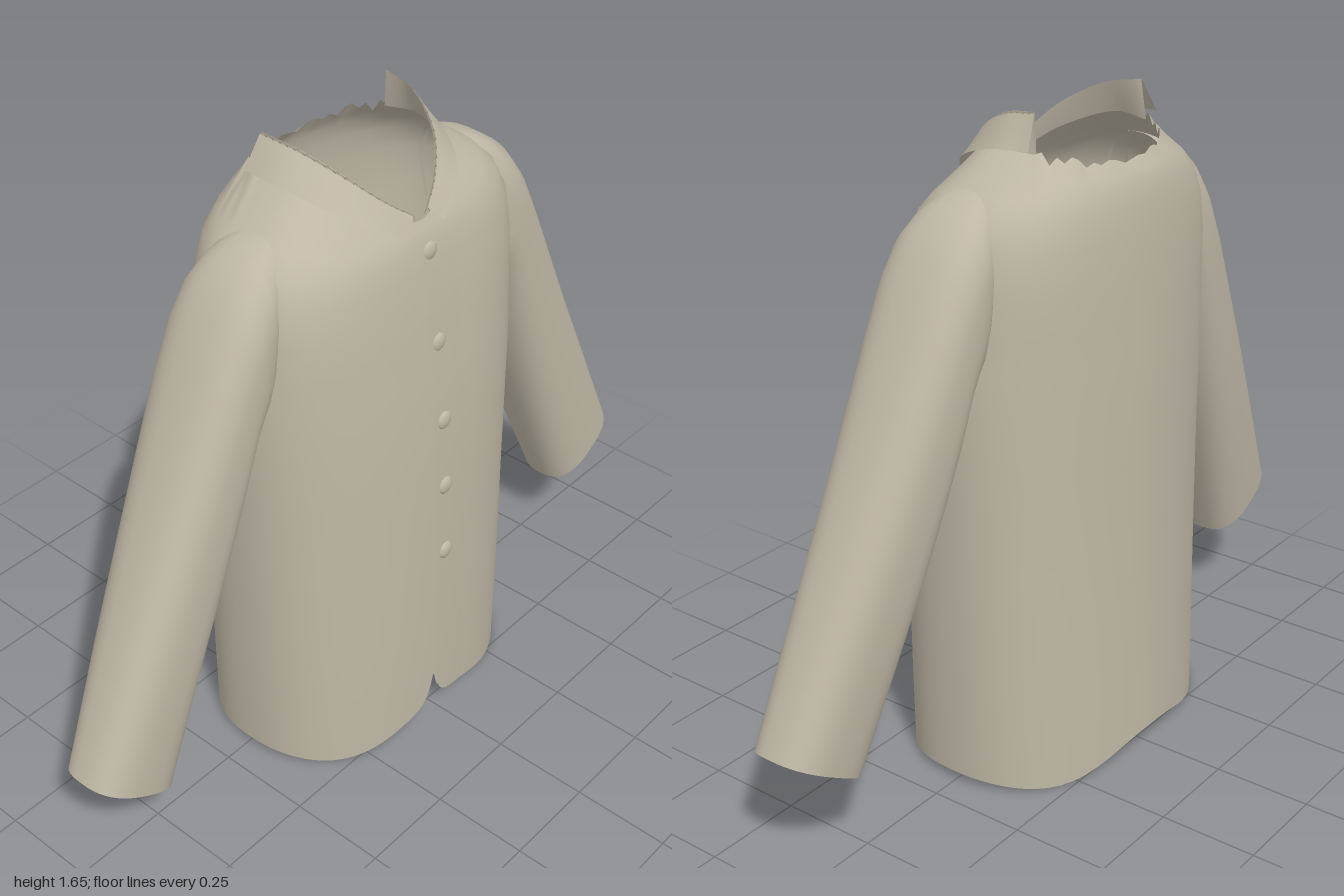
import * as THREE from 'three';
import { mergeVertices } from 'three/addons/utils/BufferGeometryUtils.js';

const cloth = new THREE.MeshStandardMaterial({ color: 0xbeb7a5, side: THREE.DoubleSide });
cloth.name = 'beige cloth';

const spow = (v, p) => Math.sign(v) * Math.pow(Math.abs(v), p);

// Smooth sheet from a rule point(i, j) -> [x, y, z]; cells wholly inside the hole are left out
function sheet(name, cols, rows, point, inHole = () => false) {
  const pts = [], idx = [];
  for (let j = 0; j <= rows; j++) for (let i = 0; i <= cols; i++) pts.push(point(i, j));
  for (let j = 0; j < rows; j++) for (let i = 0; i < cols; i++) {
    const a = j * (cols + 1) + i, b = a + cols + 1;
    if ([a, a + 1, b, b + 1].every(k => inHole(...pts[k]))) continue;
    idx.push(a, a + 1, b, a + 1, b + 1, b);
  }
  let geo = new THREE.BufferGeometry();
  geo.setAttribute('position', new THREE.Float32BufferAttribute(pts.flat(), 3));
  geo.setIndex(idx);
  geo = mergeVertices(geo, 1e-5);
  geo.computeVertexNormals();
  const mesh = new THREE.Mesh(geo, cloth);
  mesh.name = name;
  return mesh;
}

// Body rings: y at front, side, back; half width; front depth; back depth; front and back squareness
const RINGS = [
  [0.03, 0.03, 0.03, 0.425, 0.298, 0.300, 2.35, 2.2],
  [0.20, 0.20, 0.20, 0.428, 0.298, 0.297, 2.35, 2.2],
  [0.40, 0.40, 0.40, 0.432, 0.294, 0.291, 2.35, 2.2],
  [0.60, 0.60, 0.60, 0.436, 0.288, 0.287, 2.35, 2.2],
  [0.80, 0.80, 0.80, 0.440, 0.280, 0.284, 2.4, 2.2],
  [0.98, 0.98, 0.98, 0.444, 0.269, 0.281, 2.5, 2.25],
  [1.09, 1.09, 1.09, 0.440, 0.256, 0.277, 2.65, 2.3],
  [1.17, 1.18, 1.17, 0.435, 0.247, 0.273, 2.8, 2.4],
  [1.25, 1.28, 1.26, 0.430, 0.238, 0.270, 2.9, 2.5],
  [1.34, 1.37, 1.36, 0.420, 0.224, 0.264, 2.9, 2.5],
  [1.39, 1.435, 1.43, 0.392, 0.213, 0.257, 2.7, 2.45],
  [1.415, 1.475, 1.475, 0.350, 0.205, 0.247, 2.4, 2.4],
  [1.43, 1.515, 1.50, 0.290, 0.198, 0.235, 2.1, 2.5],
  [1.45, 1.56, 1.525, 0.228, 0.188, 0.215, 1.8, 2.7],
];
const SEAM = 0.035;

function body() {
  const cols = 120, top = RINGS.length - 1;
  const point = (i, j) => {
    const [yF, yS, yB, w, zF, zB, nF, nB] = RINGS[j];
    const s = i / cols;
    const t0 = -Math.pow(SEAM / w, nF / 2);
    const t = t0 + (Math.PI * 2 + 0.03) * (s - 0.14 * Math.sin(2 * Math.PI * s));
    const c = Math.cos(t), front = c > 0, n = front ? nF : nB;
    const x = w * spow(Math.sin(t), 2 / n);
    let z = (front ? zF : zB) * spow(c, 2 / n);
    // flatter slopes either side of the centre back
    if (!front) z *= 1 - 0.03 * Math.sin(Math.PI * Math.abs(x) / w);
    let y = yS + ((front ? yF : yB) - yS) * Math.pow(Math.abs(c), 2.2);
    if (j === 0) {
      // wavy hem with a rounded notch at the front opening
      y = 0.032 + 0.03 * Math.cos(Math.PI * x / 0.3);
      if (front) y += 0.1 * Math.exp(-Math.abs(x + SEAM) / 0.018);
    }
    // overlapping front edge
    if (s < 0.5 && front) z += 0.006 * Math.max(0, 1 - (x + SEAM) / 0.12);
    // ragged back neckline
    if (j === top && c < -0.35) y += [0.008, -0.018, 0.004, -0.008, 0.014][i % 5] * (1 + c * 0.75) * 1.6;
    return [x, y, z];
  };
  const armhole = (x, y, z) => Math.abs(x) > 0.38 && y > 1.12 && y < 1.44 && Math.abs(z) < 0.105;
  return sheet('body', cols, top, point, armhole);
}

// Sleeve sections: upper x, y; lower x, y; front z; back z
const SLEEVE = [
  [0.32, 1.490, 0.425, 1.075, 0.110, -0.105],
  [0.36, 1.481, 0.430, 1.065, 0.126, -0.120],
  [0.40, 1.463, 0.436, 1.055, 0.135, -0.129],
  [0.45, 1.428, 0.446, 1.04, 0.140, -0.132],
  [0.505, 1.358, 0.46, 1.00, 0.140, -0.131],
  [0.57, 1.238, 0.49, 0.90, 0.139, -0.127],
  [0.65, 1.072, 0.535, 0.775, 0.138, -0.117],
  [0.74, 0.885, 0.60, 0.615, 0.137, -0.104],
  [0.86, 0.64, 0.68, 0.425, 0.136, -0.082],
  [1.00, 0.35, 0.77, 0.21, 0.135, -0.053],
];

function sleeve(side) {
  const cols = 40;
  return sheet(side > 0 ? 'leftSleeve' : 'rightSleeve', cols, SLEEVE.length - 1, (i, j) => {
    const [ux, uy, lx, ly, zF, zB] = SLEEVE[j];
    const a = (i % cols) / cols * Math.PI * 2;
    const p = (1 - spow(Math.cos(a), 0.74)) / 2;
    const q = spow(Math.sin(a), 0.74);
    return [side * (ux + (lx - ux) * p), uy + (ly - uy) * p, (zF + zB) / 2 + q * (zF - zB) / 2];
  });
}

// Turned-down collar: base on the neckline, folded rim and outer flap edge, front to back
const path = (...pts) => new THREE.CatmullRomCurve3(pts.map(p => new THREE.Vector3(...p)));
const BASE = path([0.012, 1.45, 0.186], [0.10, 1.478, 0.162], [0.16, 1.513, 0.121], [0.226, 1.558, 0], [0.215, 1.553, -0.10]);
const RIM = path([0.022, 1.468, 0.187], [0.08, 1.515, 0.158], [0.145, 1.582, 0.10], [0.192, 1.635, 0], [0.207, 1.65, -0.09]);
const FLAP = path([0.06, 1.432, 0.210], [0.135, 1.472, 0.185], [0.203, 1.522, 0.118], [0.25, 1.562, 0], [0.252, 1.570, -0.105]);

function collar(side) {
  const cols = 20;
  return sheet(side > 0 ? 'leftCollar' : 'rightCollar', cols, 4, (i, j) => {
    const u = i / cols;
    const b = BASE.getPoint(u), r = RIM.getPoint(u), f = FLAP.getPoint(u);
    const roll = r.clone().lerp(f, 0.12);
    roll.y += 0.004;
    const p = [b, r, roll, r.clone().lerp(f, 0.6), f][j];
    return [side * p.x, p.y, p.z];
  });
}

export function createModel() {
  const shirt = new THREE.Group();
  shirt.name = 'shirt';
  shirt.add(body());
  for (const side of [1, -1]) shirt.add(sleeve(side), collar(side));

  // Buttons down the front
  const buttonGeo = new THREE.SphereGeometry(0.024, 20, 12);
  [[1.38, 0.217], [1.15, 0.250], [0.94, 0.275], [0.75, 0.285], [0.55, 0.293]].forEach(([y, z], i) => {
    const button = new THREE.Mesh(buttonGeo, cloth);
    button.name = 'button' + (i + 1);
    button.position.set(0, y, z);
    button.scale.z = 0.45;
    shirt.add(button);
  });
  return shirt;
}
